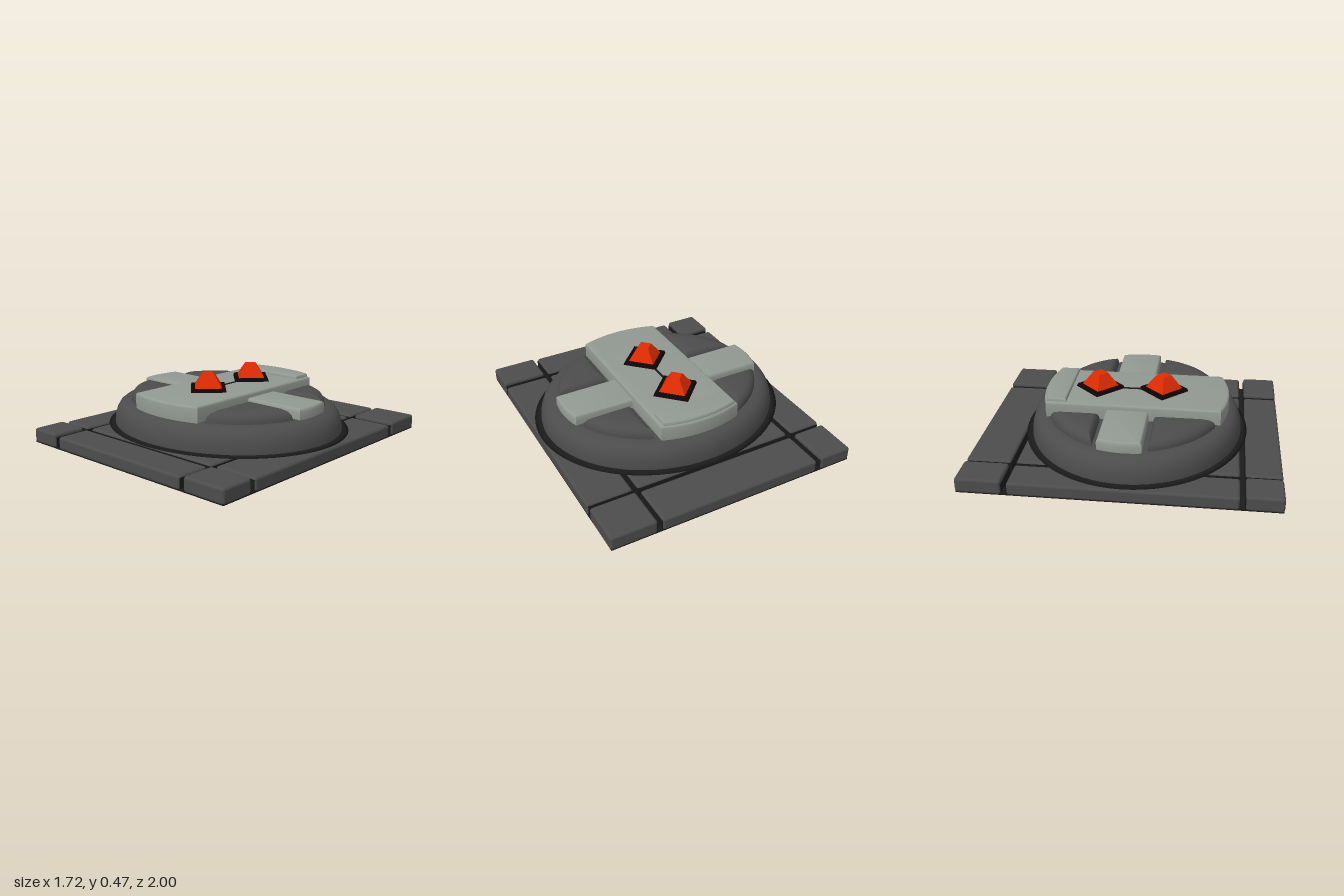
import * as THREE from 'three';
import { toCreasedNormals } from 'three/addons/utils/BufferGeometryUtils.js';
import { RoundedBoxGeometry } from 'three/addons/geometries/RoundedBoxGeometry.js';

const CZ = 0.032; // z of the oval's centre

function material(name, color, extra = {}) {
  const m = new THREE.MeshStandardMaterial({ color, ...extra });
  m.name = name;
  return m;
}

// Arc of an ellipse around the oval's centre, as [x, z] points
function arc(a, b, from, to, n = 12) {
  return Array.from({ length: n + 1 }, (_, i) => {
    const t = from + ((to - from) * i) / n;
    return [a * Math.cos(t), CZ + b * Math.sin(t)];
  });
}

// Plan outline raised from y0 to y1 with rounded edges
function slab(points, y0, y1, bevel) {
  const shape = new THREE.Shape(points.map(([x, z]) => new THREE.Vector2(x, -z)));
  const geo = new THREE.ExtrudeGeometry(shape, {
    depth: y1 - y0 - 2 * bevel, bevelSize: bevel, bevelThickness: bevel,
    bevelOffset: -bevel, bevelSegments: 3,
  });
  geo.rotateX(-Math.PI / 2).translate(0, y0 + bevel, 0);
  return toCreasedNormals(geo, 0.6);
}

// Domed quarter pad lofted from outline rings that shrink towards a pivot
function domedPad(sx, sz, innerZ) {
  const A = 0.69, B = 0.6, innerX = 0.31;
  const dz = Math.abs(innerZ - CZ);
  const outline = [[innerX, CZ + dz], ...arc(A, B, Math.asin(dz / B), Math.acos(innerX / A), 14)];
  const px = 0.41, pz = CZ + dz + 0.09;
  const levels = [[1, 0.2], [1, 0.275], [0.97, 0.296], [0.88, 0.316], [0.72, 0.33], [0.45, 0.336], [0.001, 0.337]];
  const pos = [], index = [], n = outline.length;
  for (const [s, y] of levels)
    for (const [x, z] of outline)
      pos.push(sx * (px + (x - px) * s), y, CZ + sz * (pz + (z - pz) * s - CZ));
  for (let l = 0; l < levels.length - 1; l++)
    for (let i = 0; i < n; i++) {
      const a = l * n + i, b = l * n + ((i + 1) % n), c = a + n, d = b + n;
      if (sx * sz > 0) index.push(a, c, b, b, c, d);
      else index.push(a, b, c, b, d, c);
    }
  const geo = new THREE.BufferGeometry();
  geo.setAttribute('position', new THREE.Float32BufferAttribute(pos, 3));
  geo.setIndex(index);
  return toCreasedNormals(geo, 0.7);
}

export function createModel() {
  const root = new THREE.Group();
  root.name = 'floorSwitch';
  const stone = material('dark stone', 0x4c4c4c);
  const metal = material('pale metal', 0x929892);
  const black = material('black', 0x1b1b1b);
  const settingBlack = material('setting black', 0x120404);
  const red = material('red gem', 0xde2c04, { flatShading: true });

  const add = (name, geo, mat, parent = root) => {
    const mesh = new THREE.Mesh(geo, mat);
    mesh.name = name;
    parent.add(mesh);
    return mesh;
  };

  // Base: black floor, and nine tiles whose groove walls are lined in black
  add('baseFloor', new THREE.BoxGeometry(1.7, 0.01, 1.99).translate(0, 0.005, 0), black);
  const tiles = new THREE.Group();
  tiles.name = 'baseTiles';
  root.add(tiles);
  const xs = [[-0.855, -0.627], [-0.592, 0.518], [0.552, 0.855]];
  const zs = [[-1, -0.71], [-0.675, 0.735], [0.77, 1]];
  // Liner spans pass the tile only on sides that face a groove
  const liner = ([a, b], i) => [a + (i === 0 ? 0.01 : -0.003), b + (i === 2 ? -0.01 : 0.003)];
  const span = ([x0, x1], [z0, z1], y0, y1, make) =>
    make(x1 - x0, y1 - y0, z1 - z0).translate((x0 + x1) / 2, (y0 + y1) / 2, (z0 + z1) / 2);
  xs.forEach((x, i) => zs.forEach((z, j) => {
    const top = i !== 1 && j !== 1 ? 0.098 : 0.088;
    add('tile', span(x, z, 0.001, top, (w, h, d) => new RoundedBoxGeometry(w, h, d, 3, 0.018)), stone, tiles);
    add('grooveLiner', span(liner(x, i), liner(z, j), 0.002, 0.074,
      (w, h, d) => new THREE.BoxGeometry(w, h, d)), black, tiles);
  }));

  // Oval skirt with a thin rim, and rounded body
  const lathe = (pts) => new THREE.LatheGeometry(pts.map(([x, y]) => new THREE.Vector2(x, y)), 72);
  add('skirt', lathe([[0.78, 0.082], [0.83, 0.09], [0.858, 0.1], [0.83, 0.105], [0.78, 0.108]])
    .scale(1, 1, 0.874).translate(0, 0, CZ), black);
  add('ovalBody', lathe([[0.812, 0.1], [0.814, 0.12], [0.808, 0.165], [0.796, 0.2], [0.776, 0.23],
    [0.75, 0.249], [0.715, 0.259], [0.68, 0.262], [0, 0.262]])
    .scale(1, 1, 0.871).translate(0, 0, CZ), stone);

  // Long bar with curved ends
  const endArc = (halfX, b, side) => {
    const t = Math.acos(halfX / 0.7);
    return side > 0 ? arc(0.7, b, t, Math.PI - t) : arc(0.7, b, Math.PI + t, 2 * Math.PI - t);
  };
  add('longBar', slab([...endArc(0.278, 0.62, 1), ...endArc(0.278, 0.62, -1)], 0.2, 0.363, 0.016), metal);
  add('rearPad', slab([[0.258, -0.408], [-0.258, -0.408], ...endArc(0.258, 0.608, -1)],
    0.32, 0.386, 0.016), metal);

  // Side arms
  for (const s of [1, -1]) {
    const end = arc(0.708, 0.62, Math.asin(-0.177 / 0.62), Math.asin(0.103 / 0.62), 8);
    const pts = [[0.24, -0.145], ...end, [0.24, 0.135]].map(([x, z]) => [s * x, z]);
    add(s > 0 ? 'leftArm' : 'rightArm', slab(pts, 0.2, 0.33, 0.02), metal);
  }

  // Four domed corner pads
  for (const s of [1, -1]) {
    add('frontPad', domedPad(s, 1, 0.17), stone);
    add('backPad', domedPad(s, -1, -0.18), stone);
  }

  // Two gems in black settings, joined by a thin line
  for (const z of [-0.219, 0.212]) {
    const gem = new THREE.Group();
    gem.name = 'gem';
    gem.position.z = z;
    root.add(gem);
    const setting = new THREE.CylinderGeometry(0.156, 0.165, 0.022, 4).translate(0, 0.372, 0);
    add('gemSetting', toCreasedNormals(setting, 0.3), settingBlack, gem);
    add('gemStone', new THREE.CylinderGeometry(0.05, 0.125, 0.092, 4).translate(0, 0.427, 0), red, gem);
  }
  add('joiningLine', new THREE.BoxGeometry(0.016, 0.008, 0.16).translate(0, 0.363, -0.004), black);

  return root;
}
